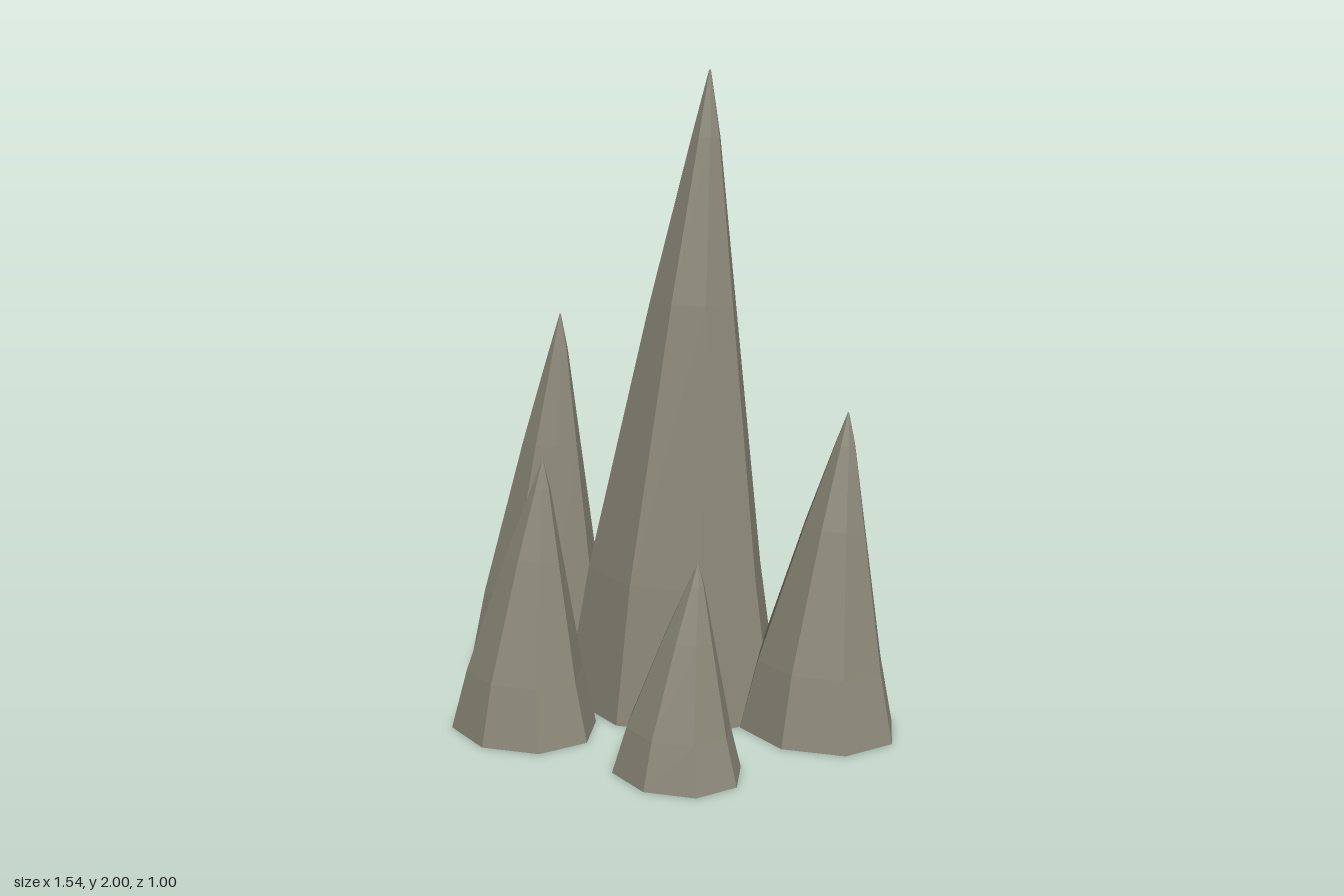
import * as THREE from 'three';

// Rings from base to tip: height fraction, radius fraction, lean fraction
const RINGS = [
  [0, 1, 0],
  [0.22, 0.8, 0.07],
  [0.65, 0.385, 0.56],
  [0.9, 0.128, 0.9],
  [1, 0.008, 1],
];

// Eight-sided spire, oval in plan, whose tip leans to +x and -z
function spireGeometry(radius, height) {
  const rows = RINGS.length - 1;
  const geometry = new THREE.CylinderGeometry(1, 1, 1, 8, rows);
  const p = geometry.attributes.position;
  for (let i = 0; i < p.count; i++) {
    const [h, r, lean] = RINGS[Math.round((p.getY(i) + 0.5) * rows)];
    p.setXYZ(
      i,
      radius * (p.getX(i) * r + 0.225 * lean),
      height * h,
      radius * 0.85 * (p.getZ(i) * r - 0.2 * lean),
    );
  }
  geometry.computeVertexNormals();
  return geometry;
}

export function createModel() {
  const group = new THREE.Group();
  group.name = 'rockSpires';

  const stone = new THREE.MeshStandardMaterial({ color: 0x8b8778, flatShading: true });
  stone.name = 'stone grey';

  // name, x, z, radius, height
  const spires = [
    ['mainSpire', 0, -0.182, 0.375, 2],
    ['rightBackSpire', -0.51, -0.147, 0.265, 1.213],
    ['leftBackSpire', 0.51, -0.225, 0.26, 1],
    ['rightFrontSpire', -0.243, 0.29, 0.242, 0.852],
    ['leftFrontSpire', 0.325, 0.29, 0.205, 0.632],
  ];
  for (const [name, x, z, radius, height] of spires) {
    const spire = new THREE.Mesh(spireGeometry(radius, height), stone);
    spire.name = name;
    spire.position.set(x, 0, z);
    group.add(spire);
  }
  return group;
}
